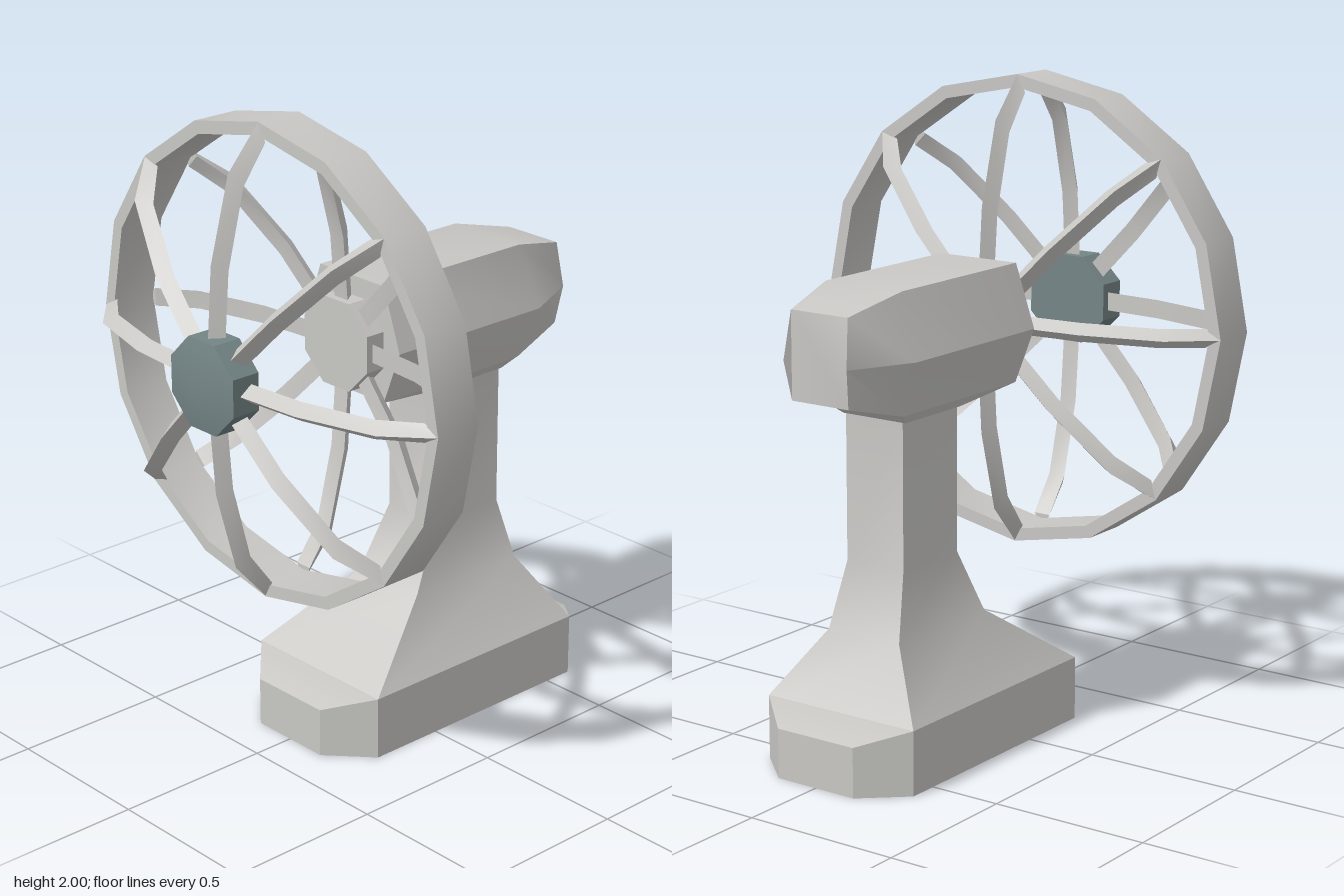
import * as THREE from 'three';
import { toCreasedNormals } from 'three/addons/utils/BufferGeometryUtils.js';

const casing = new THREE.MeshStandardMaterial({ color: 0xc8c7c4 });
casing.name = 'warm light grey';
const cap = new THREE.MeshStandardMaterial({ color: 0x748586 });
cap.name = 'slate teal';

// Makes all faces point outward, then keeps hard edges sharp
function finish(source) {
  const geo = source.index ? source.toNonIndexed() : source;
  const p = geo.attributes.position;
  const v = [0, 1, 2].map(() => new THREE.Vector3());
  const cross = new THREE.Vector3();
  let volume = 0;
  for (let i = 0; i < p.count; i += 3) {
    v.forEach((q, k) => q.fromBufferAttribute(p, i + k));
    volume += v[0].dot(cross.crossVectors(v[1], v[2]));
  }
  if (volume < 0) {
    for (let i = 0; i < p.count; i += 3) {
      v[1].fromBufferAttribute(p, i + 1);
      v[2].fromBufferAttribute(p, i + 2);
      p.setXYZ(i + 1, ...v[2].toArray());
      p.setXYZ(i + 2, ...v[1].toArray());
    }
  }
  return toCreasedNormals(geo, 0.5);
}

// Skins a list of convex cross-sections and closes both ends
function loft(sections) {
  const n = sections[0].length;
  const last = (sections.length - 1) * n;
  const index = [];
  for (let s = 0; s < last; s += n) {
    for (let i = 0; i < n; i++) {
      const j = (i + 1) % n;
      index.push(s + i, s + j, s + n + j, s + i, s + n + j, s + n + i);
    }
  }
  for (let i = 1; i < n - 1; i++) {
    index.push(0, i + 1, i, last, last + i, last + i + 1);
  }
  const geo = new THREE.BufferGeometry();
  geo.setAttribute('position', new THREE.Float32BufferAttribute(sections.flat(2), 3));
  geo.setIndex(index);
  return finish(geo);
}

// Turned part whose axis runs along z; profile points are [radius, z]
function turned(profile, sides, phase) {
  const geo = new THREE.LatheGeometry(profile.map(([r, z]) => new THREE.Vector2(r, z)), sides, phase);
  geo.rotateX(Math.PI / 2);
  return finish(geo);
}

function add(parent, name, geo, material) {
  const mesh = new THREE.Mesh(geo, material);
  mesh.name = name;
  parent.add(mesh);
  return mesh;
}

// Rectangular section at height y
const rect = (y, x, z0, z1) => [[-x, y, z0], [x, y, z0], [x, y, z1], [-x, y, z1]];

// Base outline: a rectangle with tapered ends
const baseLoop = (yMid, yEnd) => [
  [-0.272, yMid, 0.245], [-0.14, yEnd, 0.365], [0.14, yEnd, 0.365], [0.272, yMid, 0.245],
  [0.272, yMid, -0.595], [0.14, yEnd, -0.712], [-0.14, yEnd, -0.712], [-0.272, yMid, -0.595],
];

// Six-sided motor section: [half width, y, z] for top, middle and bottom
const hex = (t, m, b) => [
  t, m, b, ...[b, m, t].map(([x, y, z]) => [-x, y, z]),
];

export function createModel() {
  const model = new THREE.Group();
  model.name = 'deskFan';

  // Foot: walls, with the two ends of the top sloping down
  const base = new THREE.BufferGeometry();
  const loops = [...baseLoop(0, 0), ...baseLoop(0.2, 0.155)];
  const index = [];
  for (let i = 0; i < 8; i++) {
    const j = (i + 1) % 8;
    index.push(i, j, 8 + j, i, 8 + j, 8 + i);
  }
  for (let i = 1; i < 7; i++) index.push(0, i + 1, i);
  for (const [a, b, c, d] of [[0, 1, 2, 3], [0, 3, 4, 7], [4, 5, 6, 7]]) {
    index.push(8 + a, 8 + b, 8 + c, 8 + a, 8 + c, 8 + d);
  }
  base.setAttribute('position', new THREE.Float32BufferAttribute(loops.flat(), 3));
  base.setIndex(index);
  add(model, 'base', finish(base), casing);

  // Flared neck and the shallow collar under the motor
  add(model, 'neck', loft([
    rect(0.2, 0.272, 0.245, -0.595),
    rect(0.405, 0.132, -0.05, -0.478),
    rect(0.61, 0.105, -0.153, -0.42),
    rect(1.07, 0.105, -0.153, -0.42),
  ]), casing);
  add(model, 'collar', loft([
    rect(1.06, 0.115, -0.153, -0.42),
    rect(1.092, 0.14, 0.1, -0.46),
  ]), casing);

  // Motor housing, narrowing at the back
  add(model, 'motorHousing', loft([
    hex([0.14, 1.46, 0.1], [0.208, 1.265, 0.1], [0.14, 1.092, 0.1]),
    hex([0.14, 1.46, -0.465], [0.208, 1.265, -0.49], [0.14, 1.092, -0.465]),
    hex([0.103, 1.412, -0.67], [0.115, 1.265, -0.692], [0.103, 1.145, -0.67]),
  ]), casing);

  // Cage, centred on the ring
  const cage = new THREE.Group();
  cage.name = 'cage';
  cage.position.set(0, 1.26, 0.378);
  model.add(cage);

  add(cage, 'ring', turned([
    [0.70, -0.077], [0.74, -0.077], [0.74, 0.077], [0.70, 0.077], [0.70, -0.077],
  ], 16, 0), casing);

  const eighth = Math.PI / 8;
  add(cage, 'rearHub', turned([[0, -0.28], [0.15, -0.28], [0.15, -0.212], [0, -0.212]], 8, eighth), casing);
  add(cage, 'frontCap', turned([[0, 0.207], [0.15, 0.207], [0.15, 0.302], [0, 0.333]], 8, eighth), cap);

  // Ribs: triangular bars with the ridge outward; [radius, depth] along each
  const ridge = [[0.74, 0.075], [0.61, 0.19], [0.353, 0.26], [0.08, 0.28]];
  const inner = [[0.685, 0.075], [0.572, 0.158], [0.335, 0.219], [0.08, 0.239]];
  for (const [name, side] of [['frontRib', 1], ['rearRib', -1]]) {
    const rib = loft(ridge.map(([r, z], i) => {
      const [ri, zi] = inner[i];
      return [[r, 0, z * side], [ri, 0.029, zi * side], [ri, -0.029, zi * side]];
    }));
    for (let k = 0; k < 8; k++) {
      add(cage, name, rib, casing).rotation.z = k * Math.PI / 4;
    }
  }

  return model;
}
